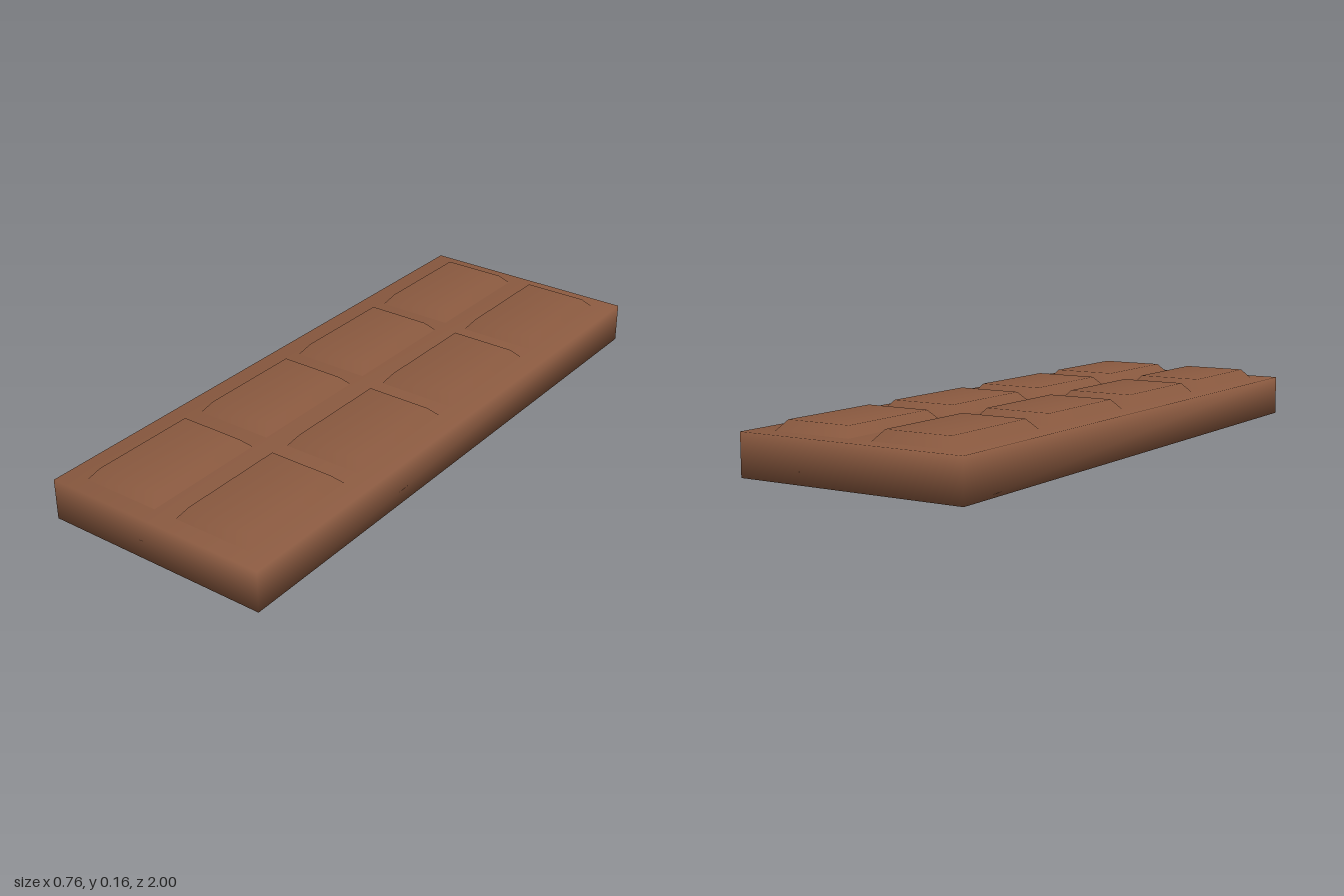
import * as THREE from 'three';
import { mergeVertices } from 'three/addons/utils/BufferGeometryUtils.js';

const BAR = { w: 0.76, h: 0.132, d: 2 };
const PAD = { w: 0.263, h: 0.031, d: 0.422, bevelX: 0.023, bevelZ: 0.031 };

// Box standing on y = 0 whose corners share one smooth normal
function weldedBox(w, h, d) {
  const box = new THREE.BoxGeometry(w, h, d).translate(0, h / 2, 0);
  box.deleteAttribute('uv');
  box.deleteAttribute('normal');
  box.clearGroups();
  const g = mergeVertices(box);
  g.computeVertexNormals();
  return g;
}

// Tapered square: top corners pulled in, open underneath, softly shaded
function padGeometry() {
  const g = weldedBox(PAD.w, PAD.h, PAD.d);
  const pos = g.attributes.position;
  const n = new THREE.Vector3();
  for (let i = 0; i < pos.count; i++) {
    const sx = Math.sign(pos.getX(i));
    const sz = Math.sign(pos.getZ(i));
    if (pos.getY(i) > PAD.h / 2) {
      pos.setX(i, sx * (PAD.w / 2 - PAD.bevelX));
      pos.setZ(i, sz * (PAD.d / 2 - PAD.bevelZ));
    }
    n.set(sx * 0.12, 1, sz * 0.1).normalize();
    g.attributes.normal.setXYZ(i, n.x, n.y, n.z);
  }
  const index = Array.from(g.index.array);
  index.splice(18, 6); // underside
  g.setIndex(index);
  return g;
}

export function createModel() {
  const model = new THREE.Group();
  model.name = 'chocolateBar';
  const chocolate = new THREE.MeshStandardMaterial({ color: 0x8b5a40 });

  // Slab
  const slab = new THREE.Mesh(weldedBox(BAR.w, BAR.h, BAR.d), chocolate);
  slab.name = 'slab';
  model.add(slab);

  // Raised squares, two by four
  const squares = new THREE.Group();
  squares.name = 'squares';
  const geometry = padGeometry();
  for (const x of [-0.1715, 0.1715]) {
    for (let row = 0; row < 4; row++) {
      const square = new THREE.Mesh(geometry, chocolate);
      square.name = 'square';
      square.position.set(x, BAR.h, (row - 1.5) * 0.487);
      squares.add(square);
    }
  }
  model.add(squares);
  return model;
}
